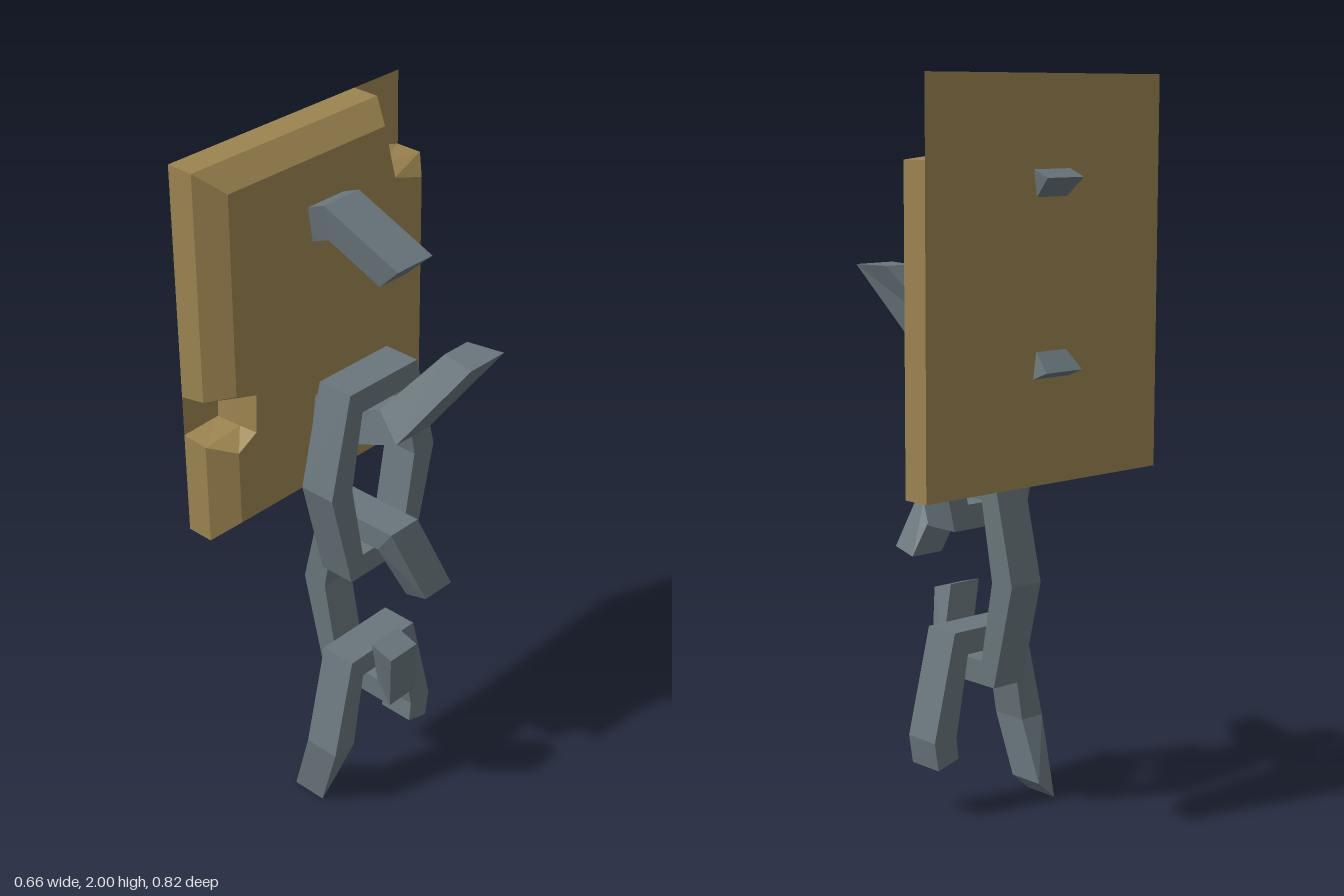
import * as THREE from 'three';

const wood = new THREE.MeshStandardMaterial({ color: 0x9c8450 });
wood.name = 'wood';
const steel = new THREE.MeshStandardMaterial({ color: 0x69767c });
steel.name = 'steel';
const paleChip = new THREE.MeshStandardMaterial({ color: 0xcccccc });
paleChip.name = 'paleChip';
wood.side = paleChip.side = THREE.DoubleSide;

// Flat-faced geometry from a list of triangles (each three Vector3)
function fromTriangles(tris) {
  const g = new THREE.BufferGeometry().setFromPoints(tris.flat());
  g.computeVertexNormals();
  return g;
}
const quad = (a, b, c, d) => [[a, b, c], [a, c, d]];

function addMesh(parent, name, tris, material) {
  const mesh = new THREE.Mesh(fromTriangles(tris), material);
  mesh.name = name;
  parent.add(mesh);
}

// Bent bar swept through sections [outerA, outerY, innerA, innerY, lo, hi, innerTaper].
// a is the in-plane horizontal axis, lo..hi the span across the plane.
function bar(sections, place, closed = false) {
  const rings = sections.map(([oa, oy, ia, iy, lo, hi, t = 0]) => [
    place(oa, oy, lo), place(oa, oy, hi), place(ia, iy, hi - t), place(ia, iy, lo + t)]);
  const tris = [];
  const n = rings.length;
  for (let i = 0; i < (closed ? n : n - 1); i++) {
    const p = rings[i], q = rings[(i + 1) % n];
    for (let k = 0; k < 4; k++) {
      const m = (k + 1) % 4;
      tris.push(...quad(p[k], p[m], q[m], q[k]));
    }
  }
  if (!closed) {
    const [a, b, c, d] = rings[0], [e, f, g, h] = rings[n - 1];
    tris.push(...quad(d, c, b, a), ...quad(e, f, g, h));
  }
  // Turn the faces outward if the sweep ran the other way
  const volume = tris.reduce((s, [a, b, c]) => s + a.dot(b.clone().cross(c)), 0);
  return volume < 0 ? tris.map(([a, b, c]) => [a, c, b]) : tris;
}
const inXY = (a, y, w) => new THREE.Vector3(a, y, w);
const inZY = (a, y, w) => new THREE.Vector3(w, y, a);

// Wall plate: bevelled board with two chipped notches and a full back sheet
function makePlate() {
  const plate = new THREE.Group();
  plate.name = 'wallPlate';
  // outline corners as [-z, y] on the back, at the bevel and on the front face
  const outline = [
    [[-0.41, 0.945], [-0.41, 0.945], [-0.35, 1.0]],
    [[0.41, 0.945], [0.41, 0.945], [0.35, 1.0]],
    [[0.41, 1.79], [0.41, 1.79], [0.35, 1.755]],
    [[0.275, 1.825], [0.258, 1.805], [0.245, 1.79]],
    [[0.24, 2], [0.24, 2], [0.205, 1.945]],
    [[-0.41, 2], [-0.41, 2], [-0.35, 1.945]],
    [[-0.41, 1.355], [-0.41, 1.37], [-0.35, 1.385]],
    [[-0.285, 1.345], [-0.283, 1.355], [-0.28, 1.36]],
    [[-0.29, 1.245], [-0.287, 1.247], [-0.285, 1.25]],
    [[-0.41, 1.24], [-0.41, 1.235], [-0.35, 1.215]],
  ];
  const xs = [-0.28, -0.2, -0.14];
  const pts = outline.map(c => c.map(([u, y], k) => new THREE.Vector3(xs[k], y, -u)));
  const sides = [], chip = [];
  pts.forEach((p, i) => {
    const q = pts[(i + 1) % pts.length];
    for (let k = 0; k < 2; k++) {
      (i === 3 ? chip : sides).push(...quad(p[k], q[k], q[k + 1], p[k + 1]));
    }
  });
  const flat = outline.map(c => new THREE.Vector2(...c[2]));
  const face = THREE.ShapeUtils.triangulateShape(flat, []).map(t => t.map(i => pts[i][2]));
  const corner = (y, z) => new THREE.Vector3(xs[0], y, z);
  const back = quad(corner(0.945, -0.41), corner(0.945, 0.41), corner(2, 0.41), corner(2, -0.41));
  addMesh(plate, 'plateFront', face, wood);
  addMesh(plate, 'plateSides', sides, wood);
  addMesh(plate, 'plateBack', back, wood);
  addMesh(plate, 'notchWall', chip, paleChip);
  return plate;
}

export function createModel() {
  const model = new THREE.Group();
  model.name = 'brokenChainOnPlate';
  model.add(makePlate());

  // Broken anchor ring, upper and lower halves
  const [rl, rh] = [-0.048, 0.08];
  addMesh(model, 'anchorRingUpper', bar([
    [-0.33, 1.74, -0.26, 1.67, rl, rh, 0.015],
    [-0.085, 1.84, -0.085, 1.74, rl, rh, 0.015],
    [0.163, 1.74, 0.09, 1.67, rl, rh, 0.015],
  ], inXY), steel);
  addMesh(model, 'anchorRingLower', bar([
    [-0.33, 1.245, -0.26, 1.315, rl, rh, 0.015],
    [-0.085, 1.145, -0.085, 1.245, rl, rh, 0.015],
    [0.163, 1.245, 0.09, 1.315, rl, rh, 0.015],
    [0.328, 1.49, 0.223, 1.49, -0.14, -0.012, 0.02],
  ], inXY), steel);

  // Whole link
  const [xl, xh] = [-0.045, 0.063];
  addMesh(model, 'wholeLink', bar([
    [0.145, 1.38, 0.1, 1.312, xl, xh],
    [-0.11, 1.38, -0.063, 1.312, xl, xh],
    [-0.183, 1.09, -0.105, 1.09, xl, xh],
    [-0.11, 0.795, -0.063, 0.863, xl, xh],
    [0.145, 0.795, 0.1, 0.863, xl, xh],
    [0.217, 1.09, 0.14, 1.09, xl, xh],
  ], inZY, true), steel);

  // Link snapped open on its left side
  const [zl, zh] = [-0.036, 0.07];
  addMesh(model, 'openLink', bar([
    [0.193, 0.718, 0.122, 0.7, -0.118, -0.012],
    [0.138, 0.945, 0.09, 0.877, zl, zh],
    [-0.12, 0.945, -0.07, 0.877, zl, zh],
    [-0.19, 0.655, -0.112, 0.655, zl, zh],
    [-0.12, 0.363, -0.07, 0.43, zl, zh],
    [0.138, 0.363, 0.09, 0.43, zl, zh],
    [0.19, 0.58, 0.12, 0.6, 0.02, 0.125],
  ], inXY), steel);

  // Half link hanging at the bottom, front leg twisted aside
  addMesh(model, 'halfLink', bar([
    [0.195, 0, 0.135, 0.052, -0.12, -0.013],
    [0.217, 0.22, 0.14, 0.22, xl, xh],
    [0.145, 0.515, 0.1, 0.448, xl, xh],
    [-0.11, 0.515, -0.063, 0.448, xl, xh],
    [-0.183, 0.22, -0.105, 0.22, xl, xh],
    [-0.17, 0.14, -0.098, 0.16, xl, xh],
  ], inZY), steel);

  return model;
}
